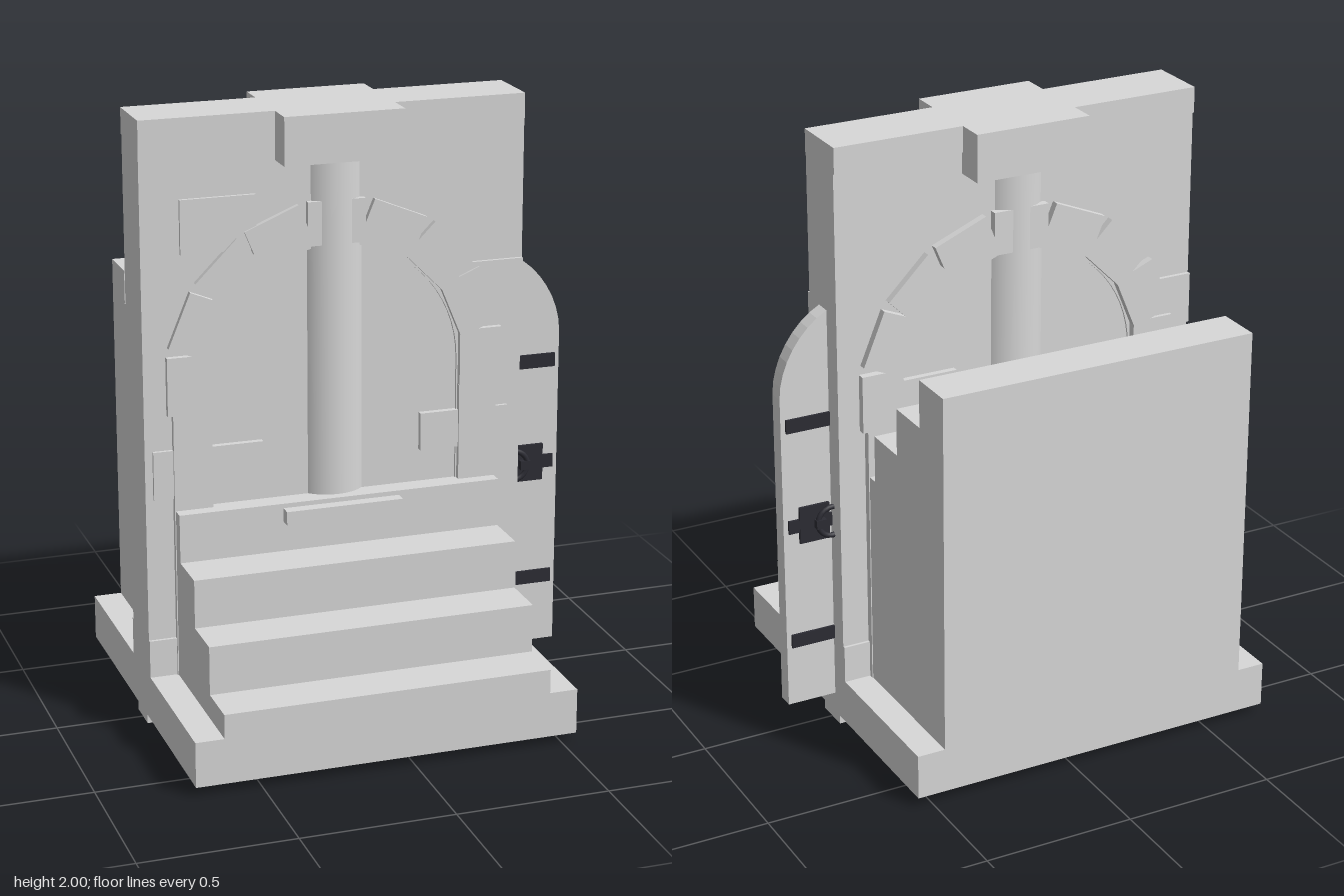
import * as THREE from 'three';

export function createModel() {
  const group = new THREE.Group();
  group.name = 'archedGateway';
  const stone = new THREE.MeshStandardMaterial({ color: 0xd8d8d8 });
  stone.name = 'stone';
  const iron = new THREE.MeshStandardMaterial({ color: 0x2c2c34 });
  iron.name = 'darkIron';

  const L = -0.713, R = 0.547;       // wall ends
  const CX = -0.083, SPRING = 1.15;  // arch centre
  const add = (name, geo, mat = stone) => {
    const m = new THREE.Mesh(geo, mat);
    m.name = name;
    group.add(m);
    return m;
  };
  // Box given by its extents
  const box = (name, x0, x1, y0, y1, z0, z1, mat) =>
    add(name, new THREE.BoxGeometry(x1 - x0, y1 - y0, z1 - z0)
      .translate((x0 + x1) / 2, (y0 + y1) / 2, (z0 + z1) / 2), mat);
  // Side profile of [z, y] points swept along x
  const sweepX = (name, pts, x0, x1) =>
    add(name, new THREE.ExtrudeGeometry(new THREE.Shape(pts.map(p => new THREE.Vector2(...p))),
      { depth: x1 - x0, bevelEnabled: false }).rotateY(-Math.PI / 2).translate(x1, 0, 0));

  // Base
  box('baseRib', L, R, 0, 0.04, -0.058, 0.058);
  box('baseSlab', L, R, 0.03, 0.18, -0.632, 0.632);
  box('wallPlinth', L, R, 0.17, 0.305, -0.106, 0.108);

  // Front stairs rise towards the wall, back stairs rise away from it
  const front = [[0, 0.17], [0.632, 0.17]];
  [0.632, 0.475, 0.316, 0.158].forEach((z, i) => {
    const y = 0.26 + 0.16 * i;
    front.push([z, y], [[0.475, 0.316, 0.158, 0][i], y]);
  });
  sweepX('frontStairs', front, -0.62, 0.454);
  const back = [[-0.632, 0.17], [0, 0.17]];
  [0, -0.16, -0.318, -0.475].forEach((z, i) => {
    const y = 0.9 + 0.157 * i;
    back.push([z, y], [[-0.16, -0.318, -0.475, -0.632][i], y]);
  });
  sweepX('backStairs', back, -0.62, 0.454);

  // Wall with arched opening, closed by a slightly recessed panel
  const wall = new THREE.Shape();
  wall.moveTo(L, 0.18).lineTo(R, 0.18).lineTo(R, 1.92).lineTo(L, 1.92).closePath();
  const hole = new THREE.Path();
  hole.moveTo(CX - 0.41, 0.3).lineTo(CX - 0.41, SPRING);
  hole.absarc(CX, SPRING, 0.41, Math.PI, 0, true);
  hole.lineTo(CX + 0.41, 0.3).closePath();
  wall.holes.push(hole);
  add('wall', new THREE.ExtrudeGeometry(wall, { depth: 0.195, bevelEnabled: false, curveSegments: 16 })
    .translate(0, 0, -0.097));
  box('recessedPanel', CX - 0.45, CX + 0.45, 0.25, 1.65, -0.09, 0.089);
  box('wallCap', L, R, 1.915, 2, -0.104, 0.101);

  // Central column with capital and foot ledge
  add('column', new THREE.CylinderGeometry(0.127, 0.127, 1.25, 32).translate(CX, 1.25, 0));
  box('capital', CX - 0.195, CX + 0.195, 1.845, 2, -0.197, 0.196);
  box('footLedge', CX - 0.195, CX + 0.195, 0.68, 0.725, 0.1, 0.197);

  // Arch stones and jambs on both faces
  for (const z of [0.1, -0.106]) {
    const side = z > 0 ? 'front' : 'back';
    for (let i = 0; i <= 8; i++) {
      const m = add(side + 'ArchStone', new THREE.BoxGeometry(0.142, 0.19, 0.034));
      const a = i * Math.PI / 8;
      m.position.set(CX + 0.486 * Math.cos(a), SPRING + 0.486 * Math.sin(a), z);
      m.rotation.z = a;
    }
    for (const s of [-1, 1]) {
      box(side + 'Jamb', CX + s * 0.477 - 0.063, CX + s * 0.477 + 0.063, 0.18, 1.06, z - 0.016, z + 0.016);
    }
  }

  // Raised bricks
  [[-0.588, -0.343, 1.57, 1.745], [-0.688, -0.328, 0.78, 0.94],
    [0.202, 0.502, 0.85, 0.975], [0.3, R, 1.34, 1.465]]
    .forEach(b => box('frontBrick', ...b, 0.08, 0.109));
  [[0.14, 0.37, 1.03, 1.2], [L, -0.5, 1.2, 1.37]]
    .forEach(b => box('backBrick', ...b, -0.11, -0.08));

  // Open door leaf at the wall's end
  const leaf = new THREE.Shape();
  leaf.moveTo(0.53, 0.1).lineTo(0.713, 0.1).lineTo(0.713, 1.18);
  leaf.bezierCurveTo(0.713, 1.29, 0.64, 1.405, 0.547, 1.45);
  leaf.lineTo(0.53, 1.45).closePath();
  add('doorLeaf', new THREE.ExtrudeGeometry(leaf, { depth: 0.054, bevelEnabled: false, curveSegments: 8 })
    .translate(0, 0, -0.027));

  // Iron straps, latch and ring handles
  for (const y of [0.33, 1.087]) box('hingeStrap', 0.547, 0.697, y - 0.023, y + 0.023, -0.035, 0.035, iron);
  box('latchBar', 0.547, 0.697, 0.715, 0.76, -0.035, 0.035, iron);
  box('latchPlate', 0.557, 0.66, 0.675, 0.8, -0.037, 0.037, iron);
  for (const z of [-0.046, 0.046]) {
    add('ringHandle', new THREE.TorusGeometry(0.05, 0.009, 8, 24).translate(0.552, 0.737, z), iron);
    box('handleBoss', 0.575, 0.61, 0.722, 0.752, z - 0.011, z + 0.011, iron);
  }
  return group;
}
